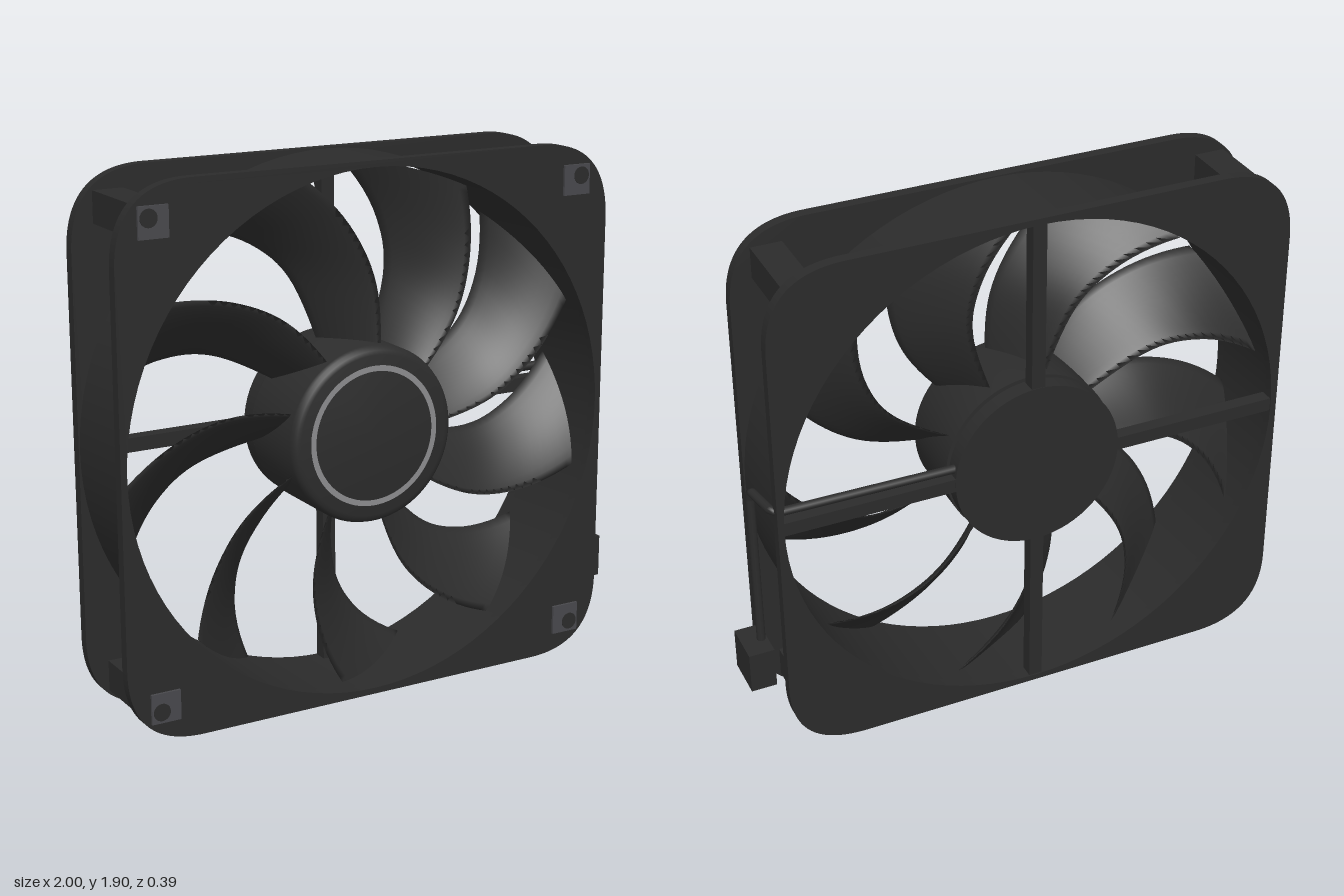
import * as THREE from 'three';
import { toCreasedNormals } from 'three/addons/utils/BufferGeometryUtils.js';

const CX = -0.05, CY = 0.953, HALF = 0.95, HOLE = 0.928;
const mat = (name, color) => Object.assign(new THREE.MeshStandardMaterial({ color }), { name });

export function createModel() {
  const frameMat = mat('charcoal frame', 0x2b2b2b);
  const bladeMat = mat('charcoal rotor', 0x2c2c2c);
  const ringMat = mat('silver ring', 0x8c8c8e);
  const padMat = mat('grey rubber', 0x48484c);

  const model = new THREE.Group();
  model.name = 'coolingFan';
  const fan = new THREE.Group(); // centred on the rotor axis
  fan.name = 'fanBody';
  fan.position.set(CX, CY, 0);
  model.add(fan);

  const add = (name, geo, material, x = 0, y = 0, z = 0, parent = fan) => {
    const mesh = new THREE.Mesh(geo, material);
    mesh.name = name;
    mesh.position.set(x, y, z);
    parent.add(mesh);
    return mesh;
  };
  const lathe = (pts, seg = 96) => toCreasedNormals(
    new THREE.LatheGeometry(pts.map(p => new THREE.Vector2(...p)), seg).rotateX(Math.PI / 2), 0.6);
  const disc = (r, depth, seg = 64) =>
    new THREE.CylinderGeometry(r, r, depth, seg).rotateX(Math.PI / 2);

  // Front and back flanges: rounded squares with a round opening
  const outline = new THREE.Shape();
  const h = HALF, e = HALF - 0.28;
  outline.moveTo(-e, -h);
  outline.lineTo(e, -h);
  outline.quadraticCurveTo(h, -h, h, -e);
  outline.lineTo(h, e);
  outline.quadraticCurveTo(h, h, e, h);
  outline.lineTo(-e, h);
  outline.quadraticCurveTo(-h, h, -h, e);
  outline.lineTo(-h, -e);
  outline.quadraticCurveTo(-h, -h, -e, -h);
  outline.holes.push(new THREE.Path().absarc(0, 0, HOLE, 0, Math.PI * 2, true));
  const flange = toCreasedNormals(
    new THREE.ExtrudeGeometry(outline, { depth: 0.04, bevelEnabled: false, curveSegments: 48 }), 0.6);
  add('frontFlange', flange, frameMat, 0, 0, 0.147);
  add('backFlange', flange, frameMat, 0, 0, -0.195);

  // Round air tunnel between the flanges
  add('airTunnel', lathe([[HOLE, -0.16], [0.946, -0.16], [0.946, 0.16], [HOLE, 0.16], [HOLE, -0.16]]), frameMat);

  // Corner posts, rubber pads and screw holes
  for (const sx of [-1, 1]) for (const sy of [-1, 1]) {
    add('cornerPost', new THREE.BoxGeometry(0.11, 0.11, 0.32), frameMat, sx * 0.815, sy * 0.82, -0.005);
    add('cornerPad', new THREE.BoxGeometry(0.107, 0.107, 0.012), padMat, sx * 0.815, sy * 0.82, 0.19);
    add('screwHole', disc(0.031, 0.004, 24), frameMat, sx * 0.832, sy * 0.834, 0.196);
  }

  // Motor mount and its four struts at the back
  add('motorMount', disc(0.31, 0.06), frameMat, 0, 0, -0.162);
  for (let i = 0; i < 4; i++) {
    const strut = add('strut', new THREE.BoxGeometry(0.66, 0.05, 0.05).translate(0.61, 0, 0), frameMat, 0, 0, -0.165);
    strut.rotation.z = i * Math.PI / 2;
  }

  // Rotor hub with rounded rim, and the thin ring on its face
  const rotor = new THREE.Group();
  rotor.name = 'rotor';
  fan.add(rotor);
  add('hub', lathe([[0, -0.12], [0.315, -0.12], [0.315, 0.15], [0.31, 0.165], [0.3, 0.174], [0.285, 0.178], [0, 0.178]]),
    bladeMat, 0, 0, 0, rotor);
  add('hubRing', new THREE.RingGeometry(0.229, 0.249, 96), ringMat, 0, 0, 0.181, rotor);

  // Nine swept blades
  const blade = bladeGeometry();
  for (let i = 0; i < 9; i++) add('blade', blade, bladeMat, 0, 0, 0, rotor).rotation.z = i * Math.PI * 2 / 9;

  // Cable along a strut, out through the wall and down to the plug
  const points = [[0.2, 1.005, -0.165], [0.87, 1.012, -0.165], [0.905, 1.015, -0.15], [0.927, 1.012, -0.01], [0.928, 0.98, 0], [0.928, 0.36, 0]]
    .map(p => new THREE.Vector3(...p));
  const path = new THREE.CurvePath();
  for (let i = 1; i < points.length; i++) path.add(new THREE.LineCurve3(points[i - 1], points[i]));
  add('cable', new THREE.TubeGeometry(path, 120, 0.016, 10), frameMat, 0, 0, 0, model);
  add('plug', new THREE.BoxGeometry(0.093, 0.155, 0.16), frameMat, 0.9535, 0.303, 0, model);
  return model;
}

// One blade: closed thin sections swept outwards, pitched so the clockwise edge is forward
function bladeGeometry() {
  const lead = new THREE.SplineCurve([[0.29, 79.5], [0.51, 85.5], [0.71, 94], [0.915, 104]].map(p => new THREE.Vector2(...p)));
  const trail = new THREE.SplineCurve([[0.29, 105], [0.55, 109], [0.73, 116.5], [0.915, 127.8]].map(p => new THREE.Vector2(...p)));
  const R = 20, N = 12, M = 2 * N, pos = [], index = [];
  const section = t => {
    const a = lead.getPoint(t), b = trail.getPoint(t);
    const front = 0.13 - 0.01 * t, drop = 0.21 + 0.03 * t;
    for (let j = 0; j < M; j++) {
      const u = j <= N ? j / N : (M - j) / N;
      const side = j <= N ? 1 : -1;
      const r = a.x + (b.x - a.x) * u, ang = THREE.MathUtils.degToRad(a.y + (b.y - a.y) * u);
      const bow = Math.sin(Math.PI * u);
      const z = front - drop * u + 0.015 * bow + side * 0.011 * Math.sqrt(bow);
      pos.push(r * Math.cos(ang), r * Math.sin(ang), z);
    }
  };
  for (let i = 0; i <= R; i++) section(i / R);
  for (let i = 0; i < R; i++) for (let j = 0; j < M; j++) {
    const k = (j + 1) % M, p = i * M, q = p + M;
    index.push(p + j, q + j, p + k, p + k, q + j, q + k);
  }
  // Tip cap
  const c = (R + 1) * M;
  section(1);
  for (let j = 0; j < N; j++) {
    const f0 = c + j, f1 = c + j + 1, b0 = c + (M - j) % M, b1 = c + M - j - 1;
    index.push(f0, b0, f1, f1, b0, b1);
  }
  const geo = new THREE.BufferGeometry();
  geo.setAttribute('position', new THREE.Float32BufferAttribute(pos, 3));
  geo.setIndex(index);
  geo.computeVertexNormals();
  return geo;
}
